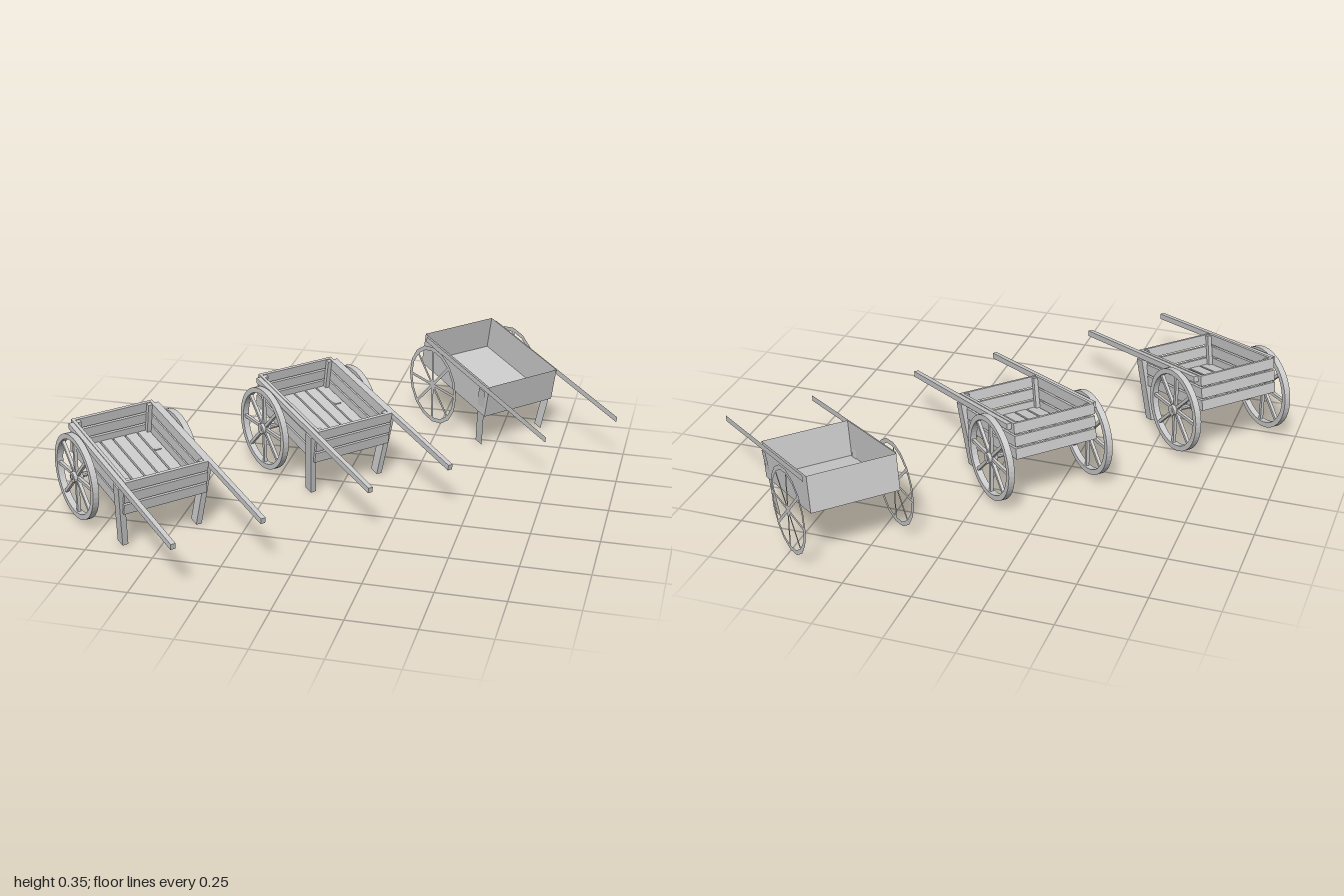
import * as THREE from 'three';

const WOOD = new THREE.MeshStandardMaterial({ color: 0xcccccc, flatShading: true });
const SHEET = new THREE.MeshStandardMaterial({ color: 0xcccccc, flatShading: true, side: THREE.DoubleSide });

// Shared cart dimensions: half width, length and height of the tray, and its forward tilt
const HW = 0.165, LEN = 0.437, HGT = 0.135, TILT = THREE.MathUtils.degToRad(10.5);
const TRAY_Y = 0.246, WHEEL_R = 0.16, WHEEL_X = 0.2, WHEEL_Y = 0.175, WHEEL_Z = -0.1, SPOKES = 8;

function add(parent, name, geometry, x = 0, y = 0, z = 0, material = WOOD) {
  const mesh = new THREE.Mesh(geometry, material);
  mesh.name = name;
  mesh.position.set(x, y, z);
  parent.add(mesh);
  return mesh;
}

function box(parent, name, w, h, d, x, y, z) {
  return add(parent, name, new THREE.BoxGeometry(w, h, d), x, y, z);
}

function group(parent, name, x = 0, y = 0, z = 0) {
  const g = new THREE.Group();
  g.name = name;
  g.position.set(x, y, z);
  parent.add(g);
  return g;
}

// Point a leg from its foot up to the rail, leaning inwards and back at the foot
function placeLeg(mesh, side) {
  const foot = new THREE.Vector3(side * 0.147, 0.004, 0.147);
  const top = new THREE.Vector3(side * 0.173, 0.252, 0.192);
  mesh.position.copy(foot).add(top).multiplyScalar(0.5);
  mesh.quaternion.setFromUnitVectors(new THREE.Vector3(0, 1, 0), top.sub(foot).normalize());
}

// Solid wheel: extruded rim, hub and radial spokes, axle along x
function solidWheel(parent, side) {
  const wheel = group(parent, 'wheel', side * WHEEL_X, WHEEL_Y, WHEEL_Z);
  const ring = new THREE.Shape().absarc(0, 0, WHEEL_R, 0, Math.PI * 2);
  ring.holes.push(new THREE.Path().absarc(0, 0, WHEEL_R - 0.02, 0, Math.PI * 2, true));
  const rim = new THREE.ExtrudeGeometry(ring, { depth: 0.024, bevelEnabled: false, curveSegments: 24 });
  rim.translate(0, 0, -0.012).rotateY(Math.PI / 2);
  add(wheel, 'rim', rim);
  add(wheel, 'hub', new THREE.CylinderGeometry(0.02, 0.02, 0.036, 12).rotateZ(Math.PI / 2));
  for (let i = 0; i < SPOKES; i++) {
    const spoke = new THREE.BoxGeometry(0.012, 0.135, 0.012).translate(0, 0.078, 0);
    add(wheel, 'spoke', spoke).rotation.x = (i / SPOKES) * Math.PI * 2;
  }
}

// Flat wheel: the same outline as thin sheets
function flatWheel(parent, side) {
  const wheel = group(parent, 'flatWheel', side * WHEEL_X, WHEEL_Y, WHEEL_Z);
  add(wheel, 'rim', new THREE.RingGeometry(WHEEL_R - 0.017, WHEEL_R, 16).rotateY(Math.PI / 2), 0, 0, 0, SHEET);
  add(wheel, 'hub', new THREE.CircleGeometry(0.02, 8).rotateY(Math.PI / 2), 0, 0, 0, SHEET);
  for (let i = 0; i < SPOKES; i++) {
    const spoke = new THREE.PlaneGeometry(0.012, 0.135).translate(0, 0.078, 0).rotateY(Math.PI / 2);
    add(wheel, 'spoke', spoke, 0, 0, 0, SHEET).rotation.x = (i / SPOKES) * Math.PI * 2;
  }
}

// Cart made of separate planks
function plankCart() {
  const cart = new THREE.Group();
  cart.name = 'plankCart';
  const tray = group(cart, 'tray', 0, TRAY_Y, 0);
  tray.rotation.x = TILT;

  // Walls: three planks high
  const plankH = 0.04, step = (HGT - plankH) / 2, t = 0.012;
  for (let row = -1; row <= 1; row++) {
    for (const s of [-1, 1]) {
      box(tray, 'sidePlank', t, plankH, LEN, s * (HW - t / 2 - 0.002), row * step, 0);
      box(tray, s > 0 ? 'frontPlank' : 'backPlank', 2 * HW - 0.028, plankH, t, 0, row * step, s * (LEN / 2 - t / 2));
    }
  }
  // Corner posts inside the walls
  for (const sx of [-1, 1]) for (const sz of [-1, 1]) {
    box(tray, 'cornerPost', 0.016, HGT - 0.006, 0.016, sx * (HW - 0.022), 0, sz * (LEN / 2 - 0.02));
  }
  // Floor planks with gaps, on cross beams
  const planks = 6, pitch = (2 * HW - 0.028) / planks;
  for (let i = 0; i < planks; i++) {
    box(tray, 'floorPlank', pitch - 0.007, 0.012, LEN - 0.024, (i - (planks - 1) / 2) * pitch, -HGT / 2 + 0.008, 0);
  }
  for (const z of [-0.13, 0.13]) box(tray, 'crossBeam', 2 * HW - 0.02, 0.014, 0.026, 0, -HGT / 2 - 0.004, z);

  // Long handles along the upper sides, and legs below them
  for (const s of [-1, 1]) {
    box(tray, 'handle', 0.018, 0.022, 0.79, s * 0.172, 0.054, 0.195);
    placeLeg(box(cart, 'leg', 0.022, 0.252, 0.04, 0, 0, 0), s);
    solidWheel(cart, s);
    // Bearing block between axle and tray
    box(cart, 'axleBlock', 0.025, 0.05, 0.04, s * 0.12, 0.185, WHEEL_Z);
  }
  add(cart, 'axle', new THREE.CylinderGeometry(0.01, 0.01, 2 * WHEEL_X + 0.04, 10).rotateZ(Math.PI / 2), 0, WHEEL_Y, WHEEL_Z);
  return cart;
}

// Simplified cart made of single sheets
function sheetCart() {
  const cart = new THREE.Group();
  cart.name = 'sheetCart';
  const tray = group(cart, 'tray', 0, TRAY_Y, 0);
  tray.rotation.x = TILT;
  add(tray, 'floor', new THREE.PlaneGeometry(2 * HW, LEN).rotateX(-Math.PI / 2), 0, -HGT / 2, 0, SHEET);
  for (const s of [-1, 1]) {
    add(tray, 'sideWall', new THREE.PlaneGeometry(LEN, HGT).rotateY(s * Math.PI / 2), s * HW, 0, 0, SHEET);
    add(tray, 'endWall', new THREE.PlaneGeometry(2 * HW, HGT).rotateY(s > 0 ? 0 : Math.PI), 0, 0, s * LEN / 2, SHEET);
    add(tray, 'handle', new THREE.PlaneGeometry(0.79, 0.022).rotateY(s * Math.PI / 2), s * 0.172, 0.054, 0.195, SHEET);
    placeLeg(add(cart, 'leg', new THREE.PlaneGeometry(0.04, 0.252).rotateY(s * Math.PI / 2), 0, 0, 0, SHEET), s);
    flatWheel(cart, s);
  }
  return cart;
}

export function createModel() {
  const model = new THREE.Group();
  model.name = 'handcarts';
  // A row of three carts, turned as one
  const row = group(model, 'cartRow', -0.108, 0, -0.106);
  row.rotation.y = THREE.MathUtils.degToRad(46.6);
  [plankCart(), plankCart(), sheetCart()].forEach((cart, i) => {
    cart.position.x = (i - 1) * 0.78;
    row.add(cart);
  });
  return model;
}
